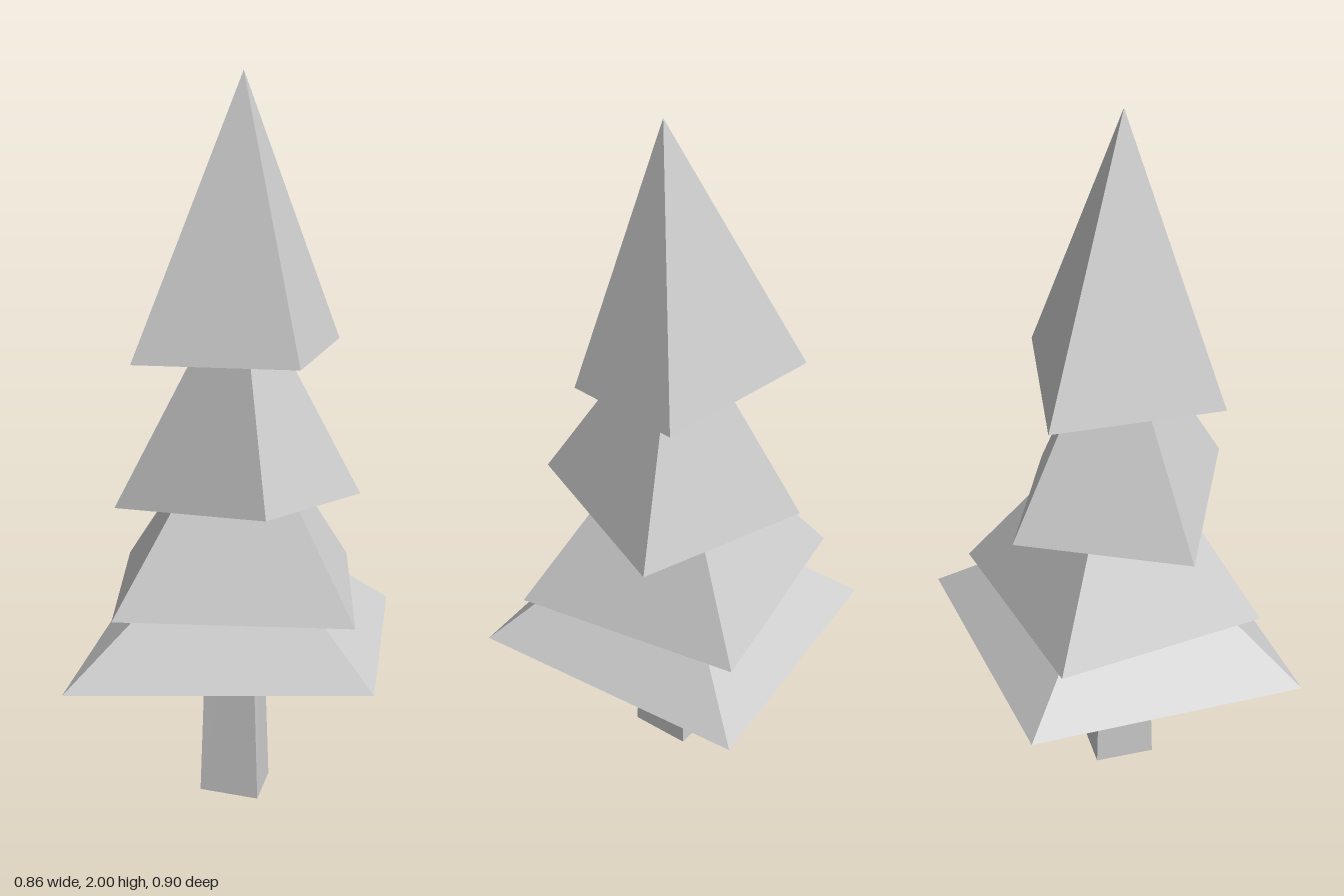
import * as THREE from 'three';

const material = new THREE.MeshStandardMaterial({
  color: 0xcccccc, flatShading: true, side: THREE.DoubleSide,
});

// Flat-shaded mesh from a list of triangles, each three [x, y, z] points
function facetMesh(name, triangles) {
  const geometry = new THREE.BufferGeometry();
  geometry.setAttribute('position', new THREE.Float32BufferAttribute(triangles.flat(2), 3));
  geometry.computeVertexNormals();
  const mesh = new THREE.Mesh(geometry, material);
  mesh.name = name;
  return mesh;
}

// Open-bottomed, four-sided cone of branches; corners run back left round to front left
function branchTier(name, apex, corners) {
  return facetMesh(name, corners.map((c, i) => [corners[(i + 1) % 4], c, apex]));
}

// Tapered four-sided post, closed at both ends
function post(name, bottom, top) {
  const triangles = [
    [bottom[0], bottom[1], bottom[2]], [bottom[0], bottom[2], bottom[3]],
    [top[2], top[1], top[0]], [top[3], top[2], top[0]],
  ];
  for (let i = 0; i < 4; i++) {
    const j = (i + 1) % 4;
    triangles.push([bottom[j], bottom[i], top[i]], [bottom[j], top[i], top[j]]);
  }
  return facetMesh(name, triangles);
}

export function createModel() {
  const tree = new THREE.Group();
  tree.name = 'pineTree';

  // Trunk, reaching up inside the hollow lowest tier
  tree.add(post('trunk',
    [[-0.1, 0.01, -0.07], [0.065, 0, -0.07], [0.07, 0, 0.105], [-0.095, 0.01, 0.1]],
    [[-0.075, 0.75, -0.045], [0.045, 0.75, -0.045], [0.045, 0.75, 0.085], [-0.07, 0.75, 0.085]]));

  // Branch tiers from bottom to top, each twisted and slightly tilted
  tree.add(branchTier('lowestBranches', [0, 0.82, 0.03],
    [[-0.43, 0.41, -0.33], [0.345, 0.43, -0.45], [0.43, 0.44, 0.35], [-0.38, 0.405, 0.45]]));
  tree.add(branchTier('lowerBranches', [0, 1.16, 0.02],
    [[-0.39, 0.585, -0.235], [0.235, 0.585, -0.37], [0.365, 0.585, 0.265], [-0.27, 0.585, 0.355]]));
  tree.add(branchTier('upperBranches', [0, 1.49, 0.01],
    [[-0.145, 0.865, -0.31], [0.31, 0.84, -0.13], [0.145, 0.89, 0.355], [-0.32, 0.835, 0.145]]));
  tree.add(branchTier('treetop', [0.015, 2, 0.035],
    [[-0.26, 1.265, -0.23], [0.24, 1.27, -0.165], [0.2, 1.25, 0.19], [-0.24, 1.255, 0.245]]));

  return tree;
}
